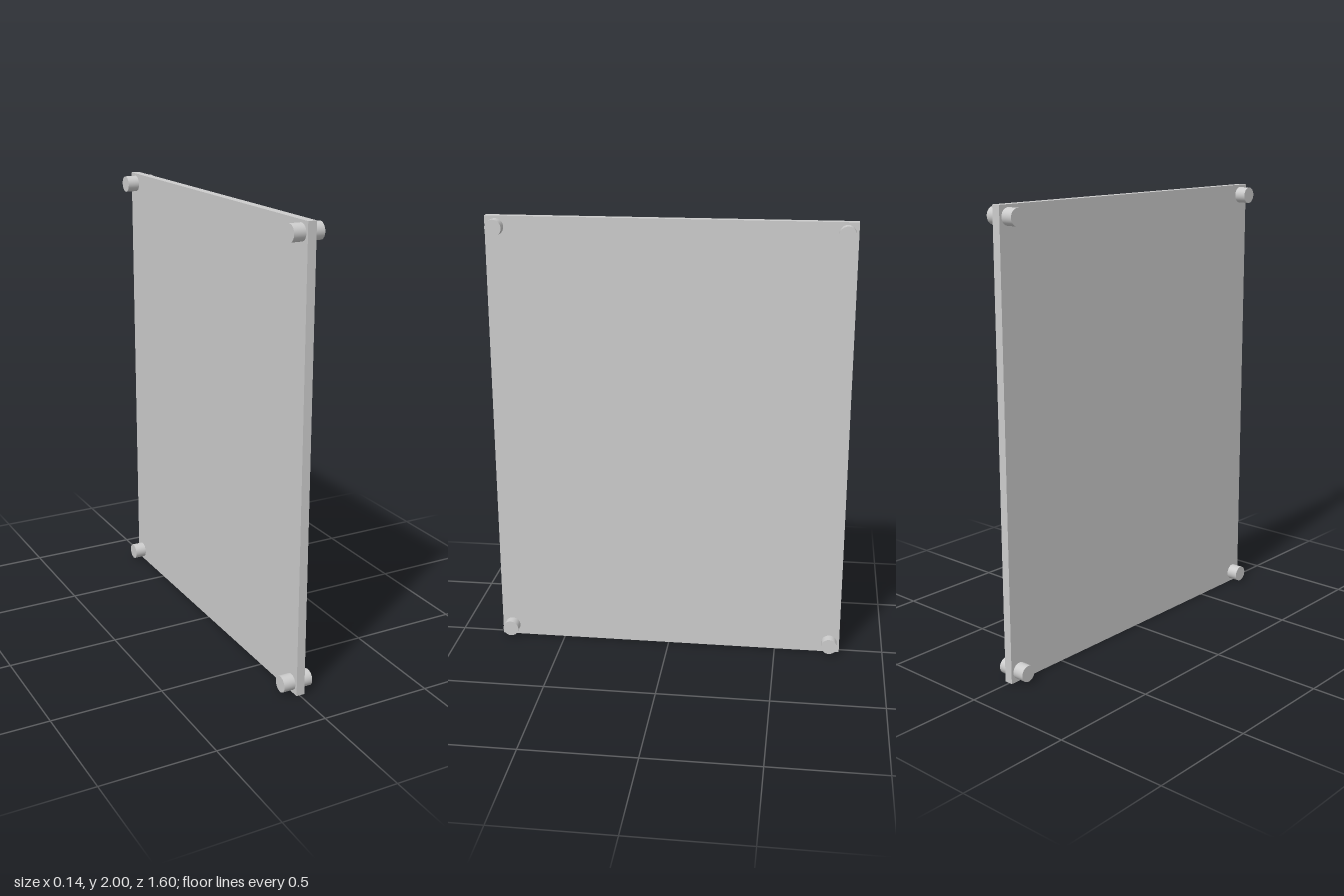
import * as THREE from 'three';

const PANEL = { thickness: 0.038, height: 2, depth: 1.6, x: 0.004 };
const PIN = { radius: 0.036, length: 0.136, inset: 0.047 };

export function createModel() {
  const model = new THREE.Group();
  model.name = 'standoffPanel';
  const material = new THREE.MeshStandardMaterial({ color: 0xcccccc });

  // Upright flat panel, slightly off the middle of its pins
  const panel = new THREE.Mesh(
    new THREE.BoxGeometry(PANEL.thickness, PANEL.height, PANEL.depth), material);
  panel.name = 'panel';
  panel.position.set(PANEL.x, PANEL.height / 2, 0);
  model.add(panel);

  // One round pin through each corner, lying along x
  const pinGeometry = new THREE.CylinderGeometry(PIN.radius, PIN.radius, PIN.length, 48);
  pinGeometry.rotateZ(Math.PI / 2);
  for (const [vertical, v] of [['bottom', -1], ['top', 1]]) {
    for (const [end, e] of [['Back', -1], ['Front', 1]]) {
      const pin = new THREE.Mesh(pinGeometry, material);
      pin.name = `${vertical}${end}Pin`;
      pin.position.set(0, PANEL.height / 2 + v * (PANEL.height / 2 - PIN.inset),
        e * (PANEL.depth / 2 - PIN.inset));
      model.add(pin);
    }
  }
  return model;
}
